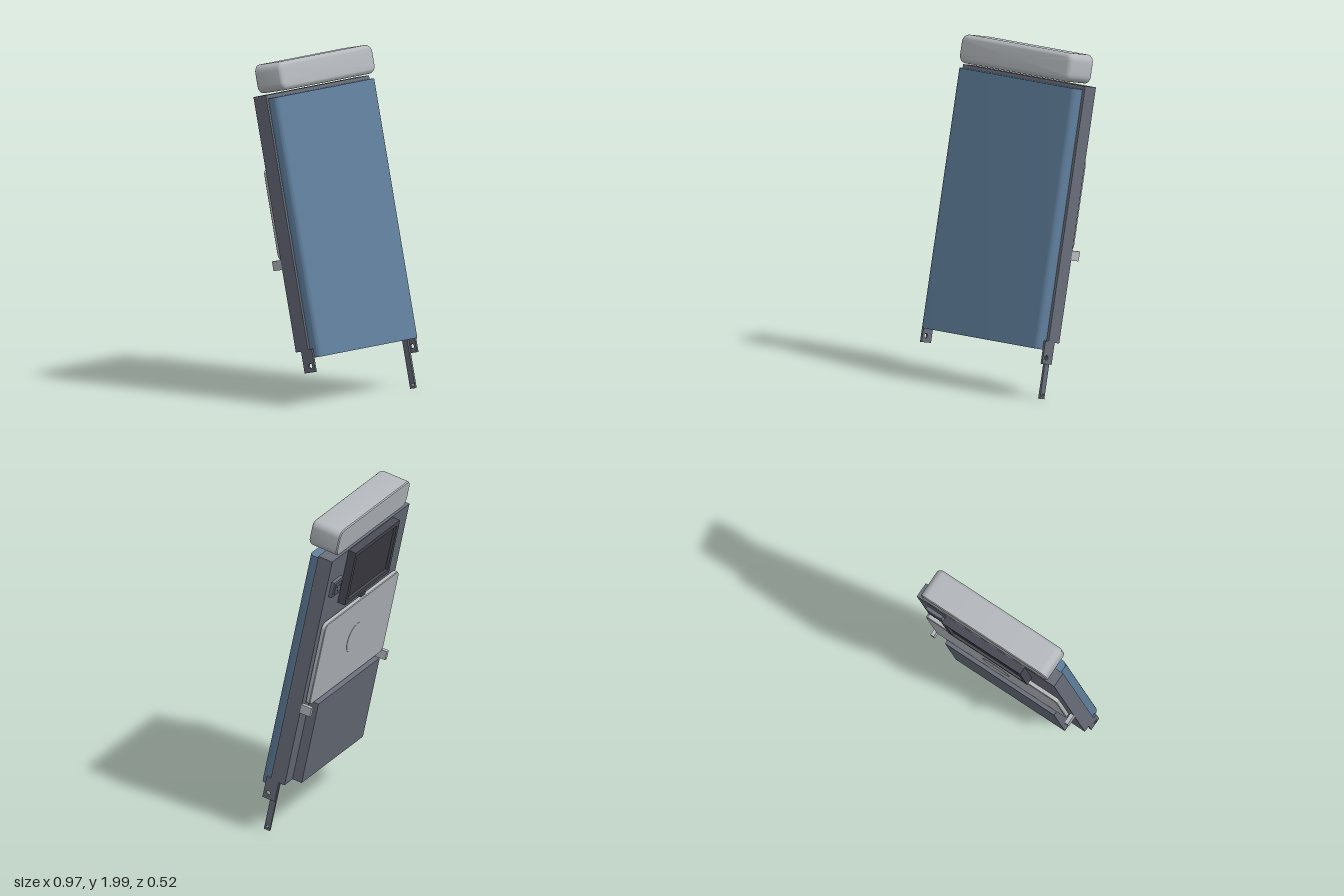
import * as THREE from 'three';
import { toCreasedNormals } from 'three/addons/utils/BufferGeometryUtils.js';

export function createModel() {
  const mat = (name, color) => {
    const m = new THREE.MeshStandardMaterial({ color });
    m.name = name;
    return m;
  };
  const blue = mat('blue fabric', 0x5f7e9b);
  const light = mat('light grey', 0xb4b8bc);
  const grey = mat('shell grey', 0x686d79);
  const dark = mat('dark frame', 0x484953);
  const black = mat('display dark', 0x3b3b43);

  // Everything is built upright, then reclined as one
  const seat = new THREE.Group();
  seat.name = 'reclinedSeatBack';
  seat.rotation.x = -0.2095;
  seat.position.set(0, 0.306, 0.26);

  const add = (name, geometry, material) => {
    const m = new THREE.Mesh(geometry, material);
    m.name = name;
    seat.add(m);
    return m;
  };
  const box = (name, material, x0, x1, y0, y1, z0, z1) => {
    const g = new THREE.BoxGeometry(x1 - x0, y1 - y0, z1 - z0);
    g.translate((x0 + x1) / 2, (y0 + y1) / 2, (z0 + z1) / 2);
    return add(name, g, material);
  };
  const rect = (T, x0, x1, y0, y1) => new T([
    new THREE.Vector2(x0, y0), new THREE.Vector2(x1, y0),
    new THREE.Vector2(x1, y1), new THREE.Vector2(x0, y1)]);

  // Rounded rectangle outline, counterclockwise
  const roundRect = (hx, hy, r, n = 6) => {
    const pts = [];
    for (let c = 0; c < 4; c++) {
      const sx = c === 0 || c === 3 ? 1 : -1, sy = c < 2 ? 1 : -1;
      for (let i = 0; i <= n; i++) {
        const a = (c + i / n) * Math.PI / 2;
        pts.push(new THREE.Vector2(sx * (hx - r) + r * Math.cos(a), sy * (hy - r) + r * Math.sin(a)));
      }
    }
    return pts;
  };

  // Rounded block from rings of [z, inset], back to front
  const roundedBlock = (hx, hy, r, rings) => {
    const pos = [], idx = [];
    let n = 0;
    rings.forEach(([z, inset]) => {
      const ring = roundRect(hx - inset, hy - inset, r - inset);
      n = ring.length;
      ring.forEach((p) => pos.push(p.x, p.y, z));
    });
    for (let j = 0; j < rings.length - 1; j++) {
      for (let k = 0; k < n; k++) {
        const a = j * n + k, b = j * n + (k + 1) % n;
        idx.push(a, b, b + n, a, b + n, a + n);
      }
    }
    const last = (rings.length - 1) * n, back = pos.length / 3;
    pos.push(0, 0, rings[0][0], 0, 0, rings[rings.length - 1][0]);
    for (let k = 0; k < n; k++) {
      const k1 = (k + 1) % n;
      idx.push(back, k1, k, back + 1, last + k, last + k1);
    }
    const g = new THREE.BufferGeometry();
    g.setAttribute('position', new THREE.Float32BufferAttribute(pos, 3));
    g.setIndex(idx);
    return toCreasedNormals(g, 0.6);
  };

  // Back cushion with rounded front corners
  const w = 0.468, r = 0.03;
  const cs = new THREE.Shape();
  cs.moveTo(-w, 0.068);
  cs.lineTo(-w, r);
  cs.absarc(-w + r, r, r, Math.PI, Math.PI * 1.5, false);
  cs.lineTo(w - r, 0);
  cs.absarc(w - r, r, r, -Math.PI / 2, 0, false);
  cs.lineTo(w, 0.068);
  const cushion = new THREE.ExtrudeGeometry(cs, { depth: 1.524, bevelEnabled: false, curveSegments: 8 });
  cushion.rotateX(-Math.PI / 2);
  add('backCushion', toCreasedNormals(cushion, 0.6), blue);
  box('cushionBacking', light, -0.46, 0.46, 0.003, 1.5, -0.073, -0.066);

  // Headrest, softly rounded toward the front
  const rings = [[-0.154, 0.006], [-0.148, 0]];
  for (let i = 0; i <= 6; i++) {
    const a = i / 6 * Math.PI / 2;
    rings.push([0.011 + 0.028 * Math.sin(a), 0.028 * (1 - Math.cos(a))]);
  }
  const head = roundedBlock(0.441, 0.084, 0.045, rings);
  head.translate(0, 1.64, 0);
  add('headrest', head, light);

  // Rear shell and literature pocket
  box('rearShell', grey, -0.485, 0.485, 0.045, 1.545, -0.157, -0.064);
  box('pocket', grey, -0.385, 0.385, 0.046, 0.575, -0.218, -0.155);

  // Side plates with bolt holes, profile drawn in the side plane
  const sidePlate = (name, x0, x1, z0, z1, y0, y1, hz, hy, hr) => {
    const s = rect(THREE.Shape, -z1, -z0, y0, y1);
    s.holes.push(new THREE.Path().absarc(-hz, hy, hr, 0, Math.PI * 2, true));
    const g = new THREE.ExtrudeGeometry(s, { depth: x1 - x0, bevelEnabled: false, curveSegments: 8 });
    g.rotateY(Math.PI / 2);
    g.translate(x0, 0, 0);
    add(name, g, grey);
  };
  for (const [side, x0] of [['left', 0.472], ['right', -0.485]]) {
    sidePlate(side + 'Bracket', x0, x0 + 0.013, -0.118, -0.037, -0.083, 0.052, -0.067, -0.045, 0.014);
  }
  sidePlate('leftLeg', 0.453, 0.467, -0.118, -0.08, -0.287, 0.046, -0.098, -0.266, 0.009);

  // Folded tray table, cup ring, hinges and latch
  const tray = roundedBlock(0.462, 0.27, 0.035, [[-0.194, 0.004], [-0.19, 0], [-0.168, 0]]);
  tray.translate(0, 0.853, 0);
  add('trayTable', tray, light);
  const cup = new THREE.CylinderGeometry(0.095, 0.095, 0.004, 40);
  cup.rotateX(Math.PI / 2);
  cup.translate(0, 0.86, -0.194);
  add('cupRest', cup, light);
  for (const s of [-1, 1]) {
    const x = s * 0.473;
    box('trayHinge', light, x - 0.012, x + 0.012, 0.53, 0.587, -0.222, -0.156);
  }
  const stem = new THREE.CylinderGeometry(0.012, 0.012, 0.025, 16);
  stem.rotateX(Math.PI / 2);
  stem.translate(0, 1.148, -0.167);
  add('latchStem', stem, dark);
  const latch = roundedBlock(0.032, 0.012, 0.011, [[-0.19, 0], [-0.176, 0]]);
  latch.translate(0, 1.148, 0);
  add('trayLatch', latch, dark);

  // Screen: raised frame around a recessed display
  const fs = rect(THREE.Shape, -0.277, 0.277, 1.19, 1.54);
  fs.holes.push(rect(THREE.Path, -0.25, 0.25, 1.217, 1.513));
  const frame = new THREE.ExtrudeGeometry(fs, { depth: 0.05, bevelEnabled: false });
  frame.translate(0, 0, -0.206);
  add('screenFrame', frame, dark);
  box('display', black, -0.255, 0.255, 1.212, 1.518, -0.19, -0.156);

  // Power socket with slots
  box('socketPlate', grey, 0.322, 0.432, 1.29, 1.39, -0.178, -0.156);
  box('socketFace', grey, 0.342, 0.412, 1.305, 1.375, -0.183, -0.177);
  for (const x of [0.362, 0.392]) {
    box('socketSlot', dark, x - 0.004, x + 0.004, 1.343, 1.362, -0.185, -0.182);
  }
  box('socketSlot', dark, 0.369, 0.385, 1.317, 1.327, -0.185, -0.182);

  const model = new THREE.Group();
  model.name = 'seatBack';
  model.add(seat);
  return model;
}
